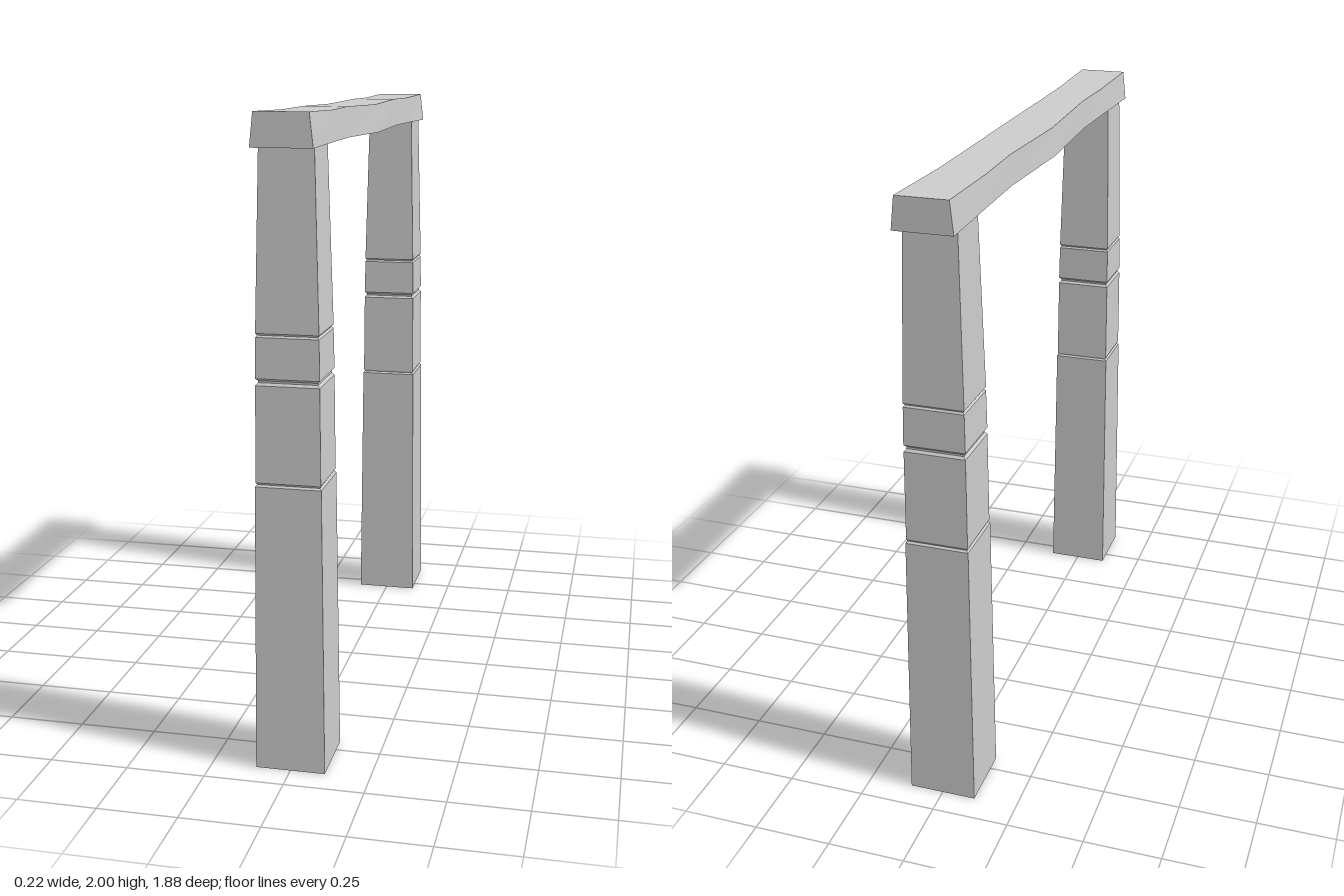
import * as THREE from 'three';

const material = new THREE.MeshStandardMaterial({ color: 0xcccccc, flatShading: true, side: THREE.DoubleSide });

// Tapered square post with narrow grooves: [half width, height], open at the bottom
function makePost(name, z) {
  const profile = [
    [0.109, 0], [0.101, 0.905], [0.095, 0.911], [0.099, 0.917],
    [0.097, 1.212], [0.09, 1.22], [0.09, 1.226], [0.097, 1.233],
    [0.095, 1.355], [0.09, 1.361], [0.095, 1.367], [0.082, 1.9],
  ].map(([w, y]) => new THREE.Vector2(w * Math.SQRT2, y));
  const post = new THREE.Mesh(new THREE.LatheGeometry(profile, 4, Math.PI / 4), material);
  post.name = name;
  post.position.z = z;
  return post;
}

// Lintel: a box whose sections swell and narrow along its length
function makeLintel() {
  // per section: z, half width at top, half width at bottom, bottom y, top y
  const sections = [
    [-0.94, 0.081, 0.092, 1.9, 2], [-0.63, 0.077, 0.085, 1.902, 1.994],
    [-0.4, 0.073, 0.08, 1.902, 1.996], [0, 0.083, 0.092, 1.897, 1.99],
    [0.4, 0.073, 0.08, 1.902, 1.996], [0.63, 0.077, 0.085, 1.902, 1.994],
    [0.94, 0.081, 0.092, 1.9, 2],
  ];
  const last = sections.length - 1;
  const geometry = new THREE.BoxGeometry(1, 1, last, 1, 1, last);
  const p = geometry.attributes.position;
  for (let i = 0; i < p.count; i++) {
    const [z, top, bottom, low, high] = sections[Math.round(p.getZ(i) + last / 2)];
    const up = p.getY(i) > 0;
    p.setXYZ(i, Math.sign(p.getX(i)) * (up ? top : bottom), up ? high : low, z);
  }
  geometry.computeVertexNormals();
  const lintel = new THREE.Mesh(geometry, material);
  lintel.name = 'lintel';
  return lintel;
}

export function createModel() {
  const model = new THREE.Group();
  model.name = 'gateway';
  model.add(makePost('frontPost', 0.802), makePost('backPost', -0.802), makeLintel());
  return model;
}
